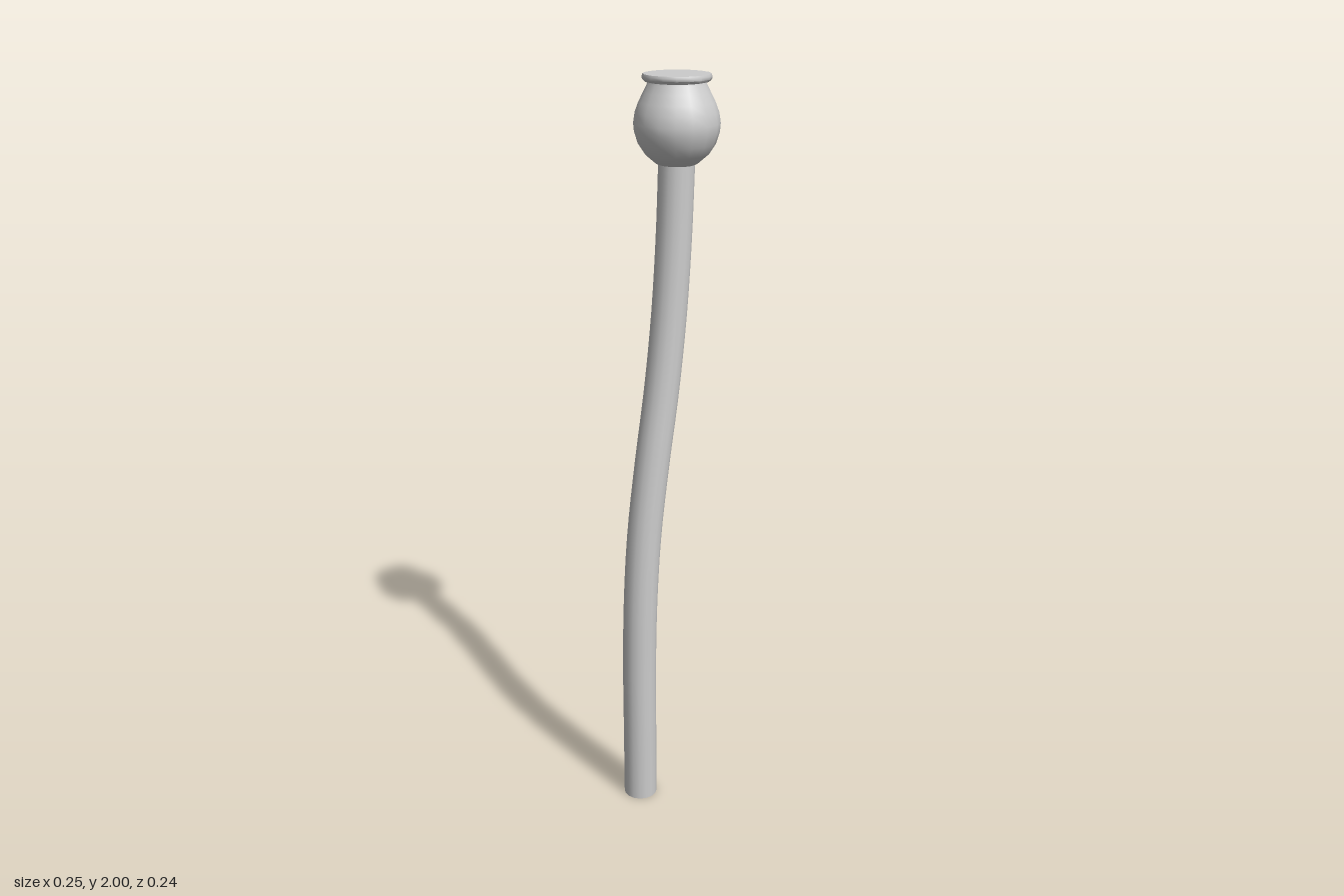
import * as THREE from 'three';
import { toCreasedNormals } from 'three/addons/utils/BufferGeometryUtils.js';

export function createModel() {
  const group = new THREE.Group();
  const grey = new THREE.MeshStandardMaterial({ color: 0xcccccc, side: THREE.DoubleSide });
  grey.name = 'pale grey';

  const add = (name, geometry) => {
    const mesh = new THREE.Mesh(geometry, grey);
    mesh.name = name;
    group.add(mesh);
    return mesh;
  };

  // Stem: open tube swaying gently from the base to the pod (x, y, z)
  const path = new THREE.CatmullRomCurve3([
    [-0.081, 0, 0.075], [-0.081, 0.2, 0.075], [-0.081, 0.4, 0.074],
    [-0.077, 0.6, 0.071], [-0.066, 0.8, 0.061], [-0.045, 1.0, 0.043],
    [-0.02, 1.2, 0.021], [-0.001, 1.4, 0.004], [0.011, 1.6, -0.007],
    [0.018, 1.8, -0.013],
  ].map((p) => new THREE.Vector3(...p)));
  add('stem', new THREE.TubeGeometry(path, 32, 0.046, 16, false));

  // Pod: round body drawn in to a neck below the rim
  const lathe = (points) =>
    new THREE.LatheGeometry(points.map((p) => new THREE.Vector2(...p)), 16);
  const podProfile = [
    [0, 1.772], [0.03, 1.774], [0.055, 1.785], [0.08, 1.806], [0.097, 1.832],
    [0.106, 1.86], [0.108, 1.882], [0.104, 1.908], [0.095, 1.932],
    [0.083, 1.956], [0.073, 1.976], [0.071, 1.982],
  ];
  add('pod', lathe(podProfile)).position.set(0.018, 0, -0.013);

  // Rim: thin flared lip with a flat lid
  const rimProfile = [
    [0.071, 1.98], [0.081, 1.982], [0.086, 1.988], [0.086, 1.995], [0.084, 2], [0, 2],
  ];
  add('rim', toCreasedNormals(lathe(rimProfile), 0.7)).position.set(0.018, 0, -0.013);

  return group;
}
